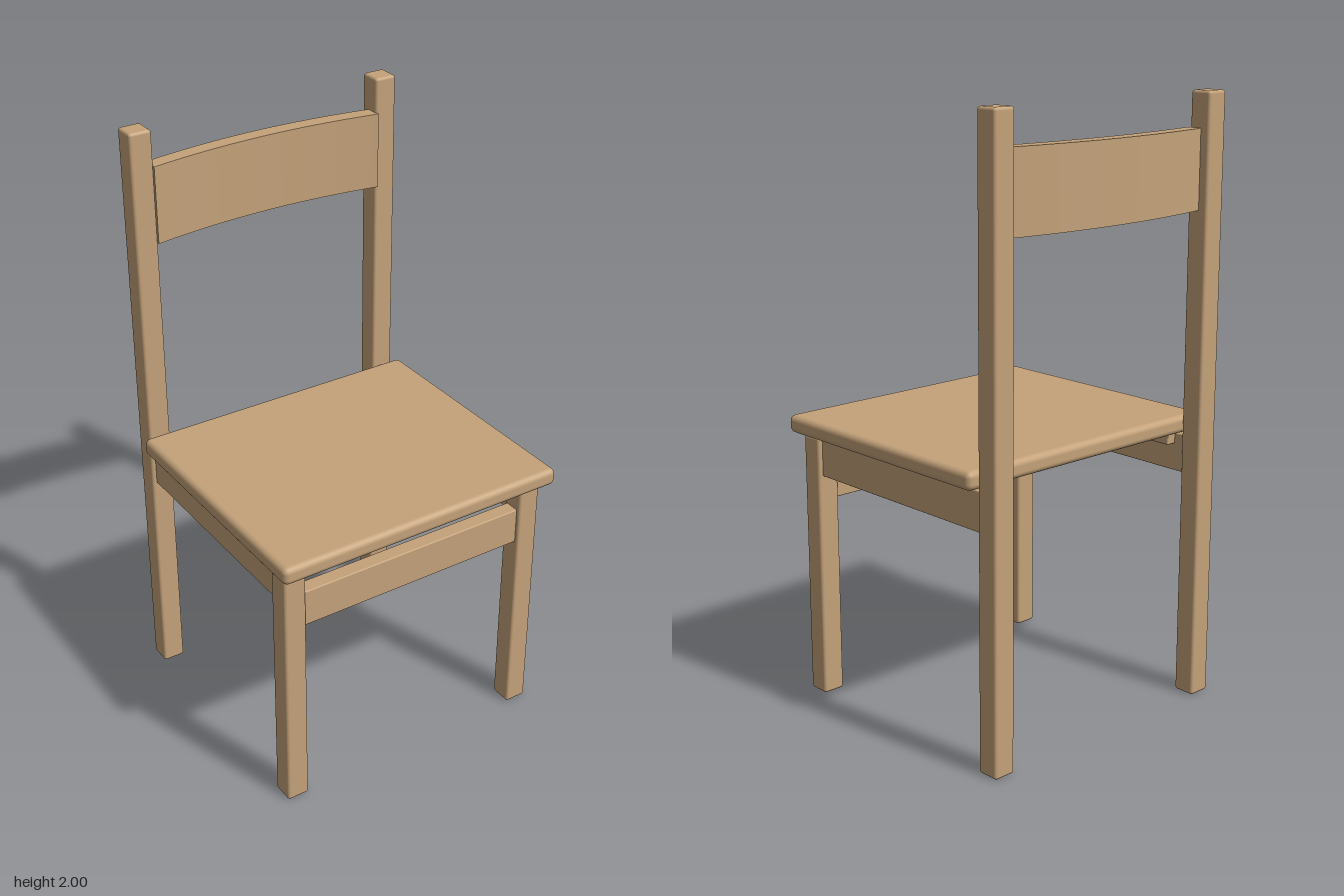
import * as THREE from 'three';
import { RoundedBoxGeometry } from 'three/addons/geometries/RoundedBoxGeometry.js';

export function createModel() {
  const chair = new THREE.Group();
  chair.name = 'chair';
  const wood = new THREE.MeshStandardMaterial({ color: 0xc4a27a });
  wood.name = 'light wood';

  // Rounded board given by its extents on each axis
  function board(name, [x0, x1], [y0, y1], [z0, z1], radius) {
    const geometry = new RoundedBoxGeometry(x1 - x0, y1 - y0, z1 - z0, 3, radius);
    const mesh = new THREE.Mesh(geometry, wood);
    mesh.name = name;
    mesh.position.set((x0 + x1) / 2, (y0 + y1) / 2, (z0 + z1) / 2);
    chair.add(mesh);
  }

  // Seat panel and front stretcher
  board('seat', [-0.51, 0.51], [0.893, 0.953], [-0.4, 0.487], 0.02);
  board('frontRail', [-0.407, 0.407], [0.674, 0.8], [0.376, 0.428], 0.004);

  // Legs, side aprons and the cleats that hold the seat
  for (const [side, s] of [['left', 1], ['right', -1]]) {
    const span = (a, b) => (s > 0 ? [a, b] : [-b, -a]);
    board(side + 'BackPost', span(0.407, 0.484), [0, 2], [-0.485, -0.408], 0.01);
    board(side + 'FrontLeg', span(0.407, 0.484), [0, 0.893], [0.362, 0.439], 0.01);
    board(side + 'Apron', span(0.42, 0.47), [0.762, 0.89], [-0.408, 0.362], 0.004);
    board(side + 'Cleat', span(0.383, 0.42), [0.855, 0.893], [-0.37, 0.33], 0.003);
  }

  // Curved backrest: an arc seen from above, extruded upwards
  const arc = new THREE.Shape();
  arc.moveTo(-0.411, 0.398);
  arc.quadraticCurveTo(0, 0.472, 0.411, 0.398);
  arc.lineTo(0.407, 0.452);
  arc.quadraticCurveTo(0, 0.528, -0.407, 0.452);
  arc.closePath();
  const slat = new THREE.ExtrudeGeometry(arc, { depth: 0.255, bevelEnabled: false, curveSegments: 28 });
  slat.rotateX(-Math.PI / 2);
  const backrest = new THREE.Mesh(slat, wood);
  backrest.name = 'backrest';
  backrest.position.y = 1.63;
  chair.add(backrest);

  return chair;
}
